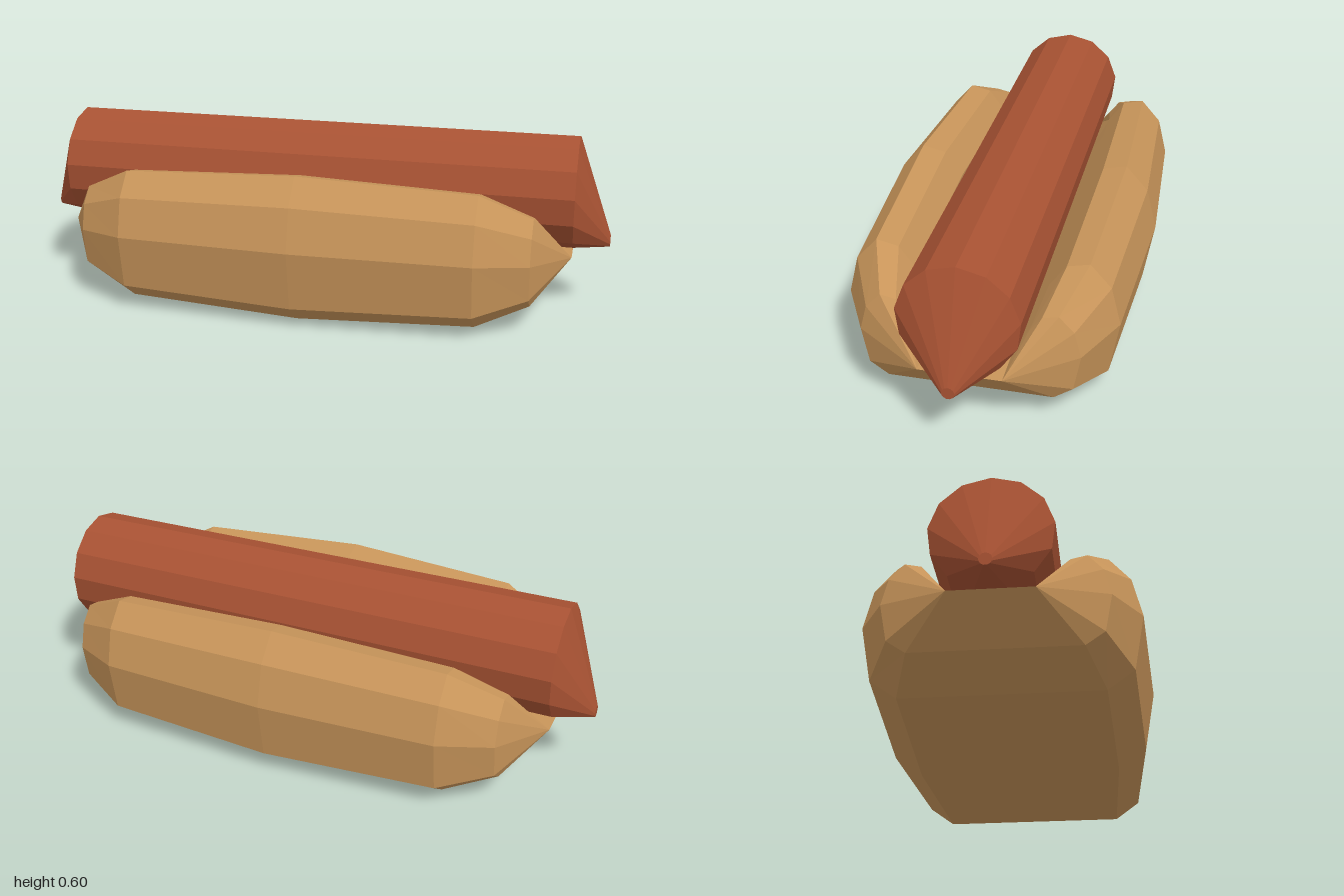
import * as THREE from 'three';

// Skin a row of closed rings (ascending x, counter-clockwise seen from +x) with flat facets.
function loft(name, rings, color) {
  const n = rings[0].length;
  const positions = rings.flat(2);
  const index = [];
  for (let i = 0; i < rings.length - 1; i++) {
    for (let j = 0; j < n; j++) {
      const k = (j + 1) % n;
      const a = i * n + j, b = i * n + k, c = b + n, d = a + n;
      index.push(a, b, c, a, c, d);
    }
  }
  const indexed = new THREE.BufferGeometry();
  indexed.setAttribute('position', new THREE.Float32BufferAttribute(positions, 3));
  indexed.setIndex(index);
  const geometry = indexed.toNonIndexed();
  geometry.computeVertexNormals();
  const mesh = new THREE.Mesh(geometry, new THREE.MeshStandardMaterial({ color, flatShading: true }));
  mesh.name = name;
  return mesh;
}

// Split bun: one half section [z, y], from the channel floor over the lip to the base.
function createBun() {
  const floorZ = 0.13, floorY = 0.22;
  const half = [
    [floorZ, floorY], [0.22, 0.345], [0.22, 0.4], [0.28, 0.482], [0.36, 0.5],
    [0.435, 0.415], [0.47, 0.272], [0.435, 0.07], [0.34, 0],
  ];
  const section = [...half, ...half.map(([z, y]) => [-z, y]).reverse()];
  // Stations [x, width scale, height scale]; the ends pinch to the channel floor line.
  const taper = [[0, 1, 1], [0.59, 0.9, 0.9], [0.76, 0.63, 0.6], [0.88, 0, 0]];
  const stations = [...taper.slice(1).reverse().map(([x, w, h]) => [-x, w, h]), ...taper];
  const rings = stations.map(([x, w, h]) => section.map(([z, y]) => [
    x,
    floorY + (y - floorY) * h,
    Math.sign(z) * (floorZ + (Math.abs(z) - floorZ) * w),
  ]));
  return loft('bun', rings, 0xc8955a);
}

// Thirteen-sided sausage whose ends slant down to small blunt tips.
function createSausage() {
  const sides = 13;
  const ring = (x, y, r) => Array.from({ length: sides }, (_, i) => {
    const t = (i / sides) * Math.PI * 2;
    return [x, y + r * Math.cos(t), r * Math.sin(t)];
  });
  const rings = [
    ring(-1, 0.246, 0), ring(-1, 0.246, 0.02), ring(-0.88, 0.41, 0.19),
    ring(0.88, 0.41, 0.19), ring(1, 0.246, 0.02), ring(1, 0.246, 0),
  ];
  return loft('sausage', rings, 0xa85233);
}

export function createModel() {
  const group = new THREE.Group();
  group.name = 'hotDog';
  group.add(createBun(), createSausage());
  return group;
}
